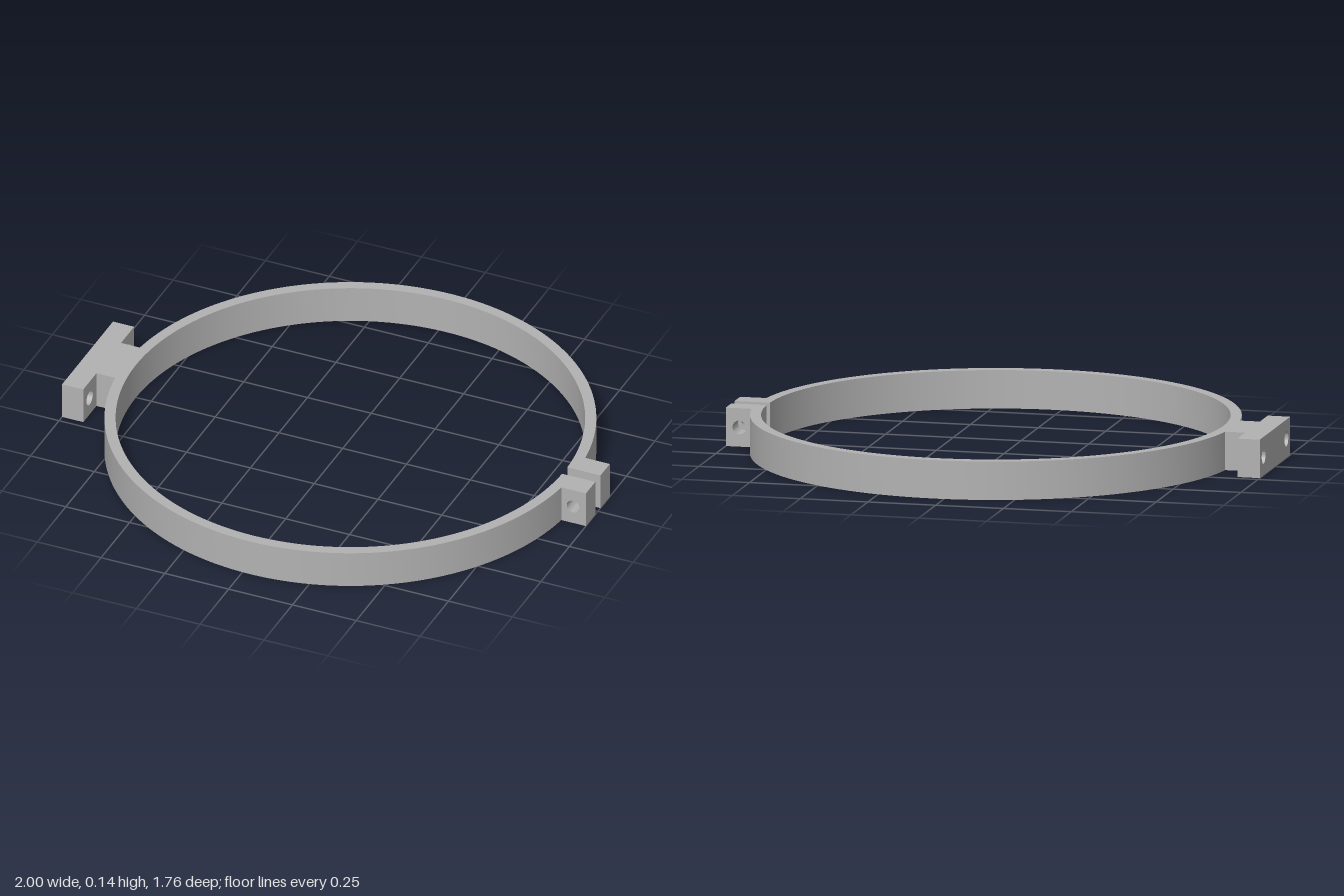
import * as THREE from 'three';
import { toCreasedNormals } from 'three/addons/utils/BufferGeometryUtils.js';

const H = 0.14;            // band height
const CX = 0.03;           // ring centre on x
const R_OUT = 0.88, R_IN = 0.84;
const GAP = 0.023;         // half of the clamp gap
const LUG_Z = 0.105;       // outer side of the clamp lugs
const STEM_Z = 0.108;      // half width of the mount stem

function extrude(shape, depth, curveSegments) {
  const g = new THREE.ExtrudeGeometry(shape, { depth, curveSegments, bevelEnabled: false });
  return toCreasedNormals(g, 0.5);
}

// Rectangular plate outline with round holes given as [x, y, radius]
function drilledPlate(x0, x1, holes) {
  const s = new THREE.Shape();
  s.moveTo(x0, 0).lineTo(x1, 0).lineTo(x1, H).lineTo(x0, H).closePath();
  for (const [x, y, r] of holes) {
    s.holes.push(new THREE.Path().absarc(x, y, r, 0, Math.PI * 2, true));
  }
  return s;
}

export function createModel() {
  const model = new THREE.Group();
  const grey = new THREE.MeshStandardMaterial({ color: 0xb2b2b2 });
  grey.name = 'plain grey';
  const add = (name, geometry) => {
    const mesh = new THREE.Mesh(geometry, grey);
    mesh.name = name;
    model.add(mesh);
    return mesh;
  };

  // Open ring band, split at +x
  const aOut = Math.asin(GAP / R_OUT), aIn = Math.asin(GAP / R_IN);
  const band = new THREE.Shape();
  band.absarc(CX, 0, R_OUT, aOut, Math.PI * 2 - aOut, false);
  band.absarc(CX, 0, R_IN, Math.PI * 2 - aIn, aIn, true);
  band.closePath();
  add('ringBand', extrude(band, H, 120).rotateX(-Math.PI / 2));

  // Pair of drilled clamp lugs beside the gap
  for (const side of [1, -1]) {
    const lug = extrude(drilledPlate(0.89, 1, [[0.95, H / 2, 0.025]]), LUG_Z - GAP, 24);
    lug.translate(0, 0, side > 0 ? GAP : -LUG_Z);
    add(side > 0 ? 'frontClampLug' : 'backClampLug', lug);
  }

  // Mount stem, hollowed to meet the band
  const t = Math.asin(STEM_Z / R_OUT);
  const stem = new THREE.Shape();
  stem.moveTo(-0.917, STEM_Z).lineTo(-0.917, -STEM_Z);
  stem.absarc(CX, 0, R_OUT - 0.001, Math.PI + t, Math.PI - t, true);
  stem.closePath();
  add('mountStem', extrude(stem, H, 16).rotateX(-Math.PI / 2));

  // Mount flange with two screw holes along x
  const flange = drilledPlate(-0.223, 0.223, [[-0.167, H / 2, 0.028], [0.167, H / 2, 0.028]]);
  add('mountFlange', extrude(flange, 0.083, 24).rotateY(Math.PI / 2).translate(-1, 0, 0));

  return model;
}
